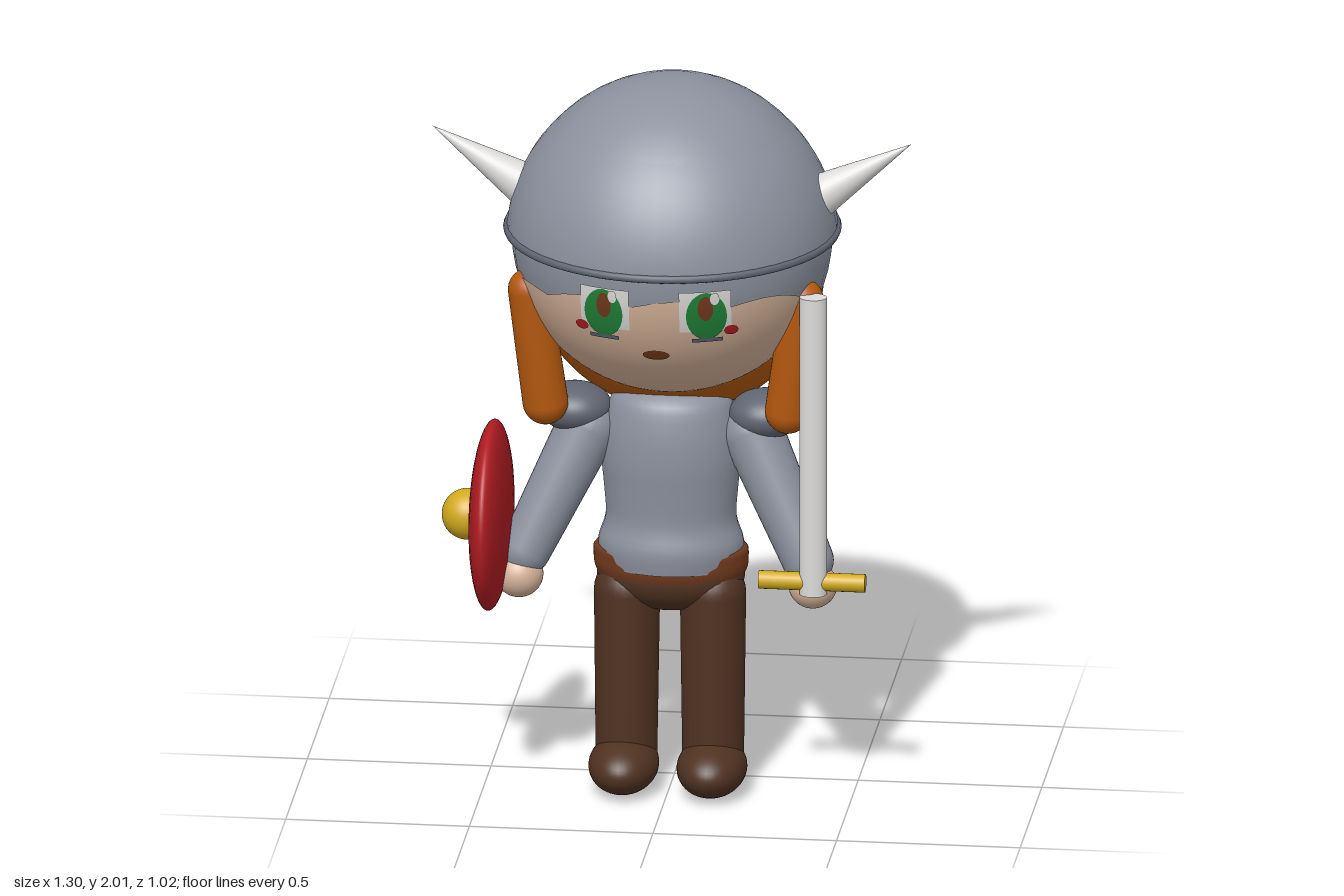
import * as THREE from 'three';

const mat = (name, color) => {
  const m = new THREE.MeshStandardMaterial({ color });
  m.name = name;
  return m;
};

const HEAD = new THREE.Vector3(0, 1.572, 0.05), HEAD_R = 0.435;

// Smooth turned profile through [radius, y] points, listed bottom to top
function turned(points, samples = 28) {
  const curve = new THREE.SplineCurve(points.map(([r, y]) => new THREE.Vector2(r, y)));
  const pts = curve.getPoints(samples).map(p => new THREE.Vector2(Math.max(p.x, 0), p.y));
  return new THREE.LatheGeometry(pts, 32);
}

// Round-ended tapered limb from a (radius ra) down to b (radius rb)
function limbGeometry(a, b, ra, rb) {
  const A = new THREE.Vector3(...a), B = new THREE.Vector3(...b);
  const len = A.distanceTo(B), pts = [];
  for (let i = 0; i <= 8; i++) {
    const t = (i / 8) * Math.PI / 2;
    pts.push(new THREE.Vector2(rb * Math.sin(t), -rb * Math.cos(t)));
  }
  for (let i = 0; i <= 8; i++) {
    const t = (i / 8) * Math.PI / 2;
    pts.push(new THREE.Vector2(ra * Math.cos(t), len + ra * Math.sin(t)));
  }
  const dir = A.clone().sub(B).normalize();
  const q = new THREE.Quaternion().setFromUnitVectors(new THREE.Vector3(0, 1, 0), dir);
  return new THREE.LatheGeometry(pts, 28).applyQuaternion(q).translate(B.x, B.y, B.z);
}

// Lay a flat geometry (in x, y) onto the front of the head
function wrapOnHead(geo, cx, cy, off) {
  const p = geo.attributes.position, n = geo.attributes.normal, v = new THREE.Vector3();
  for (let i = 0; i < p.count; i++) {
    const x = p.getX(i) + cx, y = p.getY(i) + cy - HEAD.y;
    v.set(x, y, Math.sqrt(HEAD_R * HEAD_R - x * x - y * y)).normalize();
    n.setXYZ(i, v.x, v.y, v.z);
    v.multiplyScalar(HEAD_R + off).add(HEAD);
    p.setXYZ(i, v.x, v.y, v.z);
  }
  return geo;
}

export function createModel() {
  const root = new THREE.Group();
  root.name = 'warrior';
  const steel = mat('steel', 0x8c919e), darkSteel = mat('darkSteel', 0x5f6572);
  const skin = mat('skin', 0xd6b39a), hair = mat('hair', 0xb4580e);
  const red = mat('red', 0xb01c22), gold = mat('gold', 0xd2aa1e);
  const trousers = mat('trousers', 0x4f3221), leather = mat('leather', 0x71391c);
  const white = mat('white', 0xdcdbd9), green = mat('green', 0x1f8238);

  const add = (name, geo, material, pos = [0, 0, 0], scale = [1, 1, 1]) => {
    const m = new THREE.Mesh(geo, material);
    m.name = name;
    m.position.set(...pos);
    m.scale.set(...scale);
    root.add(m);
    return m;
  };
  const ball = (name, material, pos, scale) =>
    add(name, new THREE.SphereGeometry(1, 40, 28), material, pos, scale);

  // Head, helmet dome and rim
  ball('helmetLining', steel, HEAD.toArray(), [HEAD_R, HEAD_R, HEAD_R]);
  add('helmetDome', new THREE.SphereGeometry(0.45, 48, 24, 0, Math.PI * 2, 0, 1.493),
    steel, [0, 1.55, 0.05]).material.side = THREE.DoubleSide;
  add('helmetRim', new THREE.TorusGeometry(0.447, 0.011, 8, 56).rotateX(Math.PI / 2),
    darkSteel, [0, 1.585, 0.05]);

  // Face: front patch of the head with a scalloped upper edge
  const face = new THREE.PlaneGeometry(1, 1, 72, 24);
  const fp = face.attributes.position, fn = face.attributes.normal, v = new THREE.Vector3();
  for (let i = 0; i < fp.count; i++) {
    const phi = fp.getX(i) * 2 * 1.3;
    const top = -0.175 + 0.05 * Math.abs(Math.sin(phi * 5 + 0.8)) - 0.06 * phi * phi;
    const el = THREE.MathUtils.lerp(-Math.PI / 2, top, fp.getY(i) + 0.5);
    v.set(Math.cos(el) * Math.sin(phi), Math.sin(el), Math.cos(el) * Math.cos(phi));
    fn.setXYZ(i, v.x, v.y, v.z);
    v.multiplyScalar(HEAD_R + 0.003).add(HEAD);
    fp.setXYZ(i, v.x, v.y, v.z);
  }
  add('face', face, skin);

  // Eyes, cheeks and mouth
  const disc = (name, m, x, y, rx, ry, off) =>
    add(name, wrapOnHead(new THREE.RingGeometry(0.001, 1, 24, 3).scale(rx, ry, 1), x, y, off), m);
  const plate = (name, m, x, y, w, h, off) =>
    add(name, wrapOnHead(new THREE.PlaneGeometry(w, h, 6, 6), x, y, off), m);
  for (const s of [-1, 1]) {
    plate('eyeWhite', white, s * 0.135, 1.485, 0.135, 0.12, 0.005);
    disc('cheek', red, s * 0.2, 1.423, 0.018, 0.015, 0.006);
    disc('iris', green, s * 0.138, 1.472, 0.053, 0.071, 0.007);
    disc('pupil', leather, s * 0.136, 1.497, 0.02, 0.036, 0.009);
    disc('glint', white, s * 0.136 + 0.024, 1.525, 0.012, 0.018, 0.0095);
    plate('lowerLash', darkSteel, s * 0.138, 1.398, 0.08, 0.012, 0.007);
  }
  disc('mouth', leather, 0, 1.348, 0.036, 0.016, 0.006);

  // Hair: back mass, side locks and ponytail
  ball('backHair', hair, [0, 1.425, -0.06], [0.4, 0.39, 0.335]);
  add('ponytail', turned([[0, -0.085], [0.052, -0.068], [0.08, 0], [0.057, 0.12], [0.072, 0.22],
    [0.1, 0.32], [0.095, 0.4], [0.055, 0.48], [0, 0.51]], 40), hair, [0, 1.07, -0.418], [1.1, 1, 0.93]);

  // Torso, belt and hips
  add('torso', turned([[0.19, 0.64], [0.198, 0.7], [0.178, 0.77], [0.183, 0.86], [0.19, 0.95],
    [0.18, 1.05], [0.14, 1.13], [0, 1.16]]), steel, [0, 0, 0.08], [1, 1, 0.77]);
  add('belt', turned([[0.19, 0.59], [0.207, 0.625], [0.211, 0.655], [0.207, 0.685], [0.17, 0.695]]),
    leather, [0, 0, 0.08], [1, 1, 0.66]);
  ball('hips', trousers, [0, 0.61, 0.085], [0.202, 0.105, 0.128]);

  for (const s of [-1, 1]) {
    // Mirrored side locks, arms and legs
    add('sideLock', limbGeometry([s * 0.372, 1.44, 0.2], [s * 0.33, 1.115, 0.185], 0.058, 0.062), hair);
    ball('shoulderPad', darkSteel, [s * 0.26, 1.075, 0.095], [0.1, 0.066, 0.096]);
    add('arm', limbGeometry([s * 0.225, 1.02, 0.1], [s * 0.385, 0.69, 0.185], 0.084, 0.07), steel);
    ball('hand', skin, [s * 0.4, 0.625, 0.2], [0.066, 0.064, 0.066]);
    add('leg', limbGeometry([s * 0.117, 0.56, 0.105], [s * 0.118, 0.1, 0.11], 0.09, 0.084), trousers);
    ball('boot', trousers, [s * 0.12, 0.077, 0.155], [0.095, 0.077, 0.142]);

    // Horns
    const horn = add('horn', new THREE.ConeGeometry(0.06, 0.295, 28), white, [s * 0.527, 1.77, 0.06]);
    horn.rotation.z = -s * 1.01;
  }

  // Shield on the right arm
  ball('shield', red, [-0.475, 0.79, 0.2], [0.055, 0.26, 0.26]);
  ball('shieldBoss', gold, [-0.54, 0.79, 0.2], [0.07, 0.07, 0.07]);

  // Sword in the left hand
  add('swordBlade', new THREE.CylinderGeometry(0.0375, 0.0375, 0.85, 20), white,
    [0.408, 1.045, 0.26], [1, 1, 0.85]);
  add('swordGuard', new THREE.CylinderGeometry(0.025, 0.025, 0.29, 20).rotateZ(Math.PI / 2), gold,
    [0.405, 0.655, 0.258]);

  return root;
}
